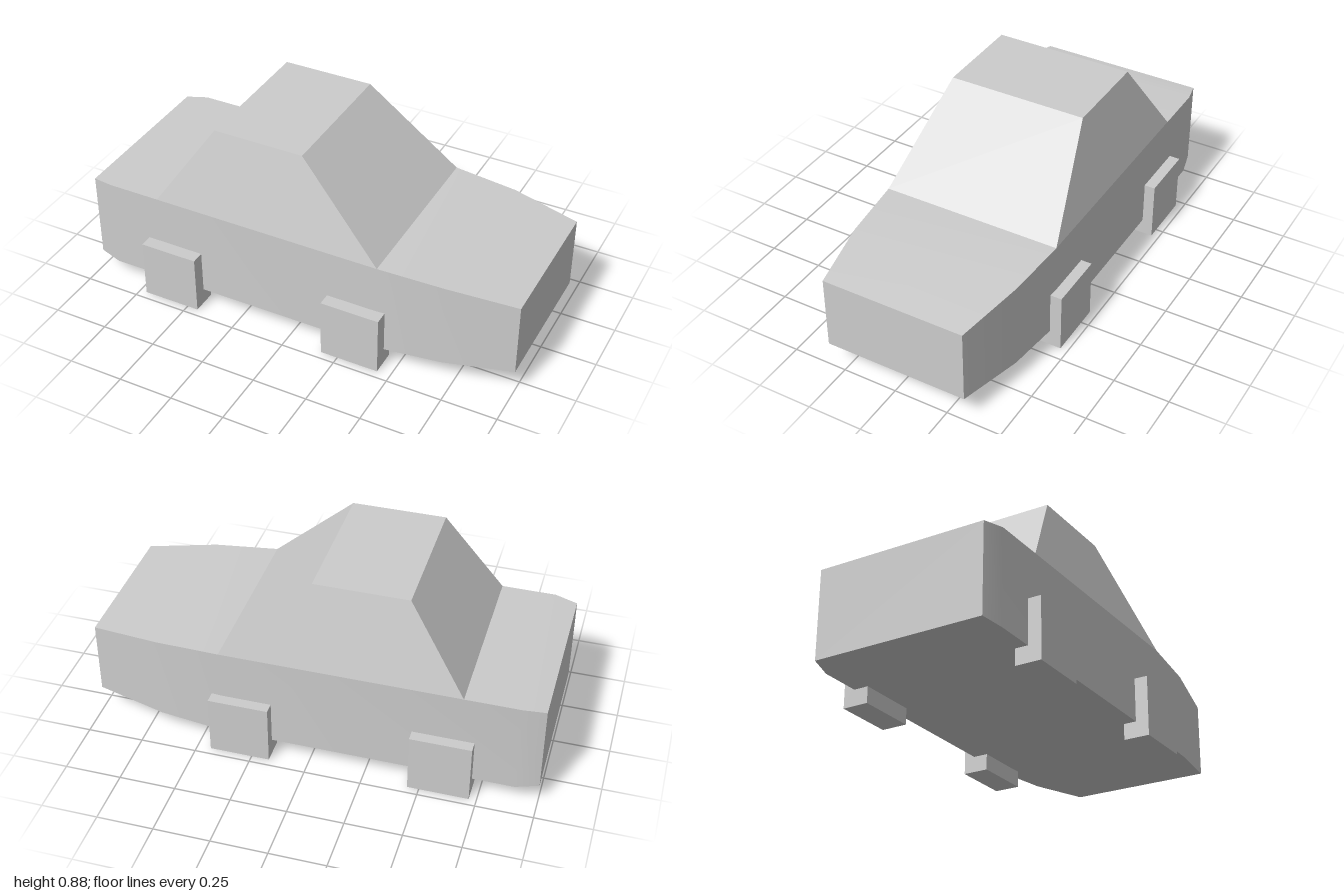
import * as THREE from 'three';
import { toCreasedNormals } from 'three/addons/utils/BufferGeometryUtils.js';

const material = new THREE.MeshStandardMaterial({ color: 0xcccccc });

// Closed solid through four-cornered rings, each counter-clockwise seen from the last end
function loft(rings) {
  const pos = [];
  const quad = (a, b, c, d) => pos.push(...a, ...b, ...c, ...a, ...c, ...d);
  for (let r = 0; r < rings.length - 1; r++) {
    const a = rings[r], b = rings[r + 1];
    for (let i = 0; i < 4; i++) {
      const j = (i + 1) % 4;
      quad(a[i], a[j], b[j], b[i]);
    }
  }
  const first = rings[0];
  quad(first[3], first[2], first[1], first[0]);
  quad(...rings[rings.length - 1]);
  const geometry = new THREE.BufferGeometry();
  geometry.setAttribute('position', new THREE.Float32BufferAttribute(pos, 3));
  return toCreasedNormals(geometry, 0.45);
}

export function createModel() {
  const group = new THREE.Group();
  const add = (name, geometry) => {
    const mesh = new THREE.Mesh(geometry, material);
    mesh.name = name;
    group.add(mesh);
    return mesh;
  };

  // Lower body: x, bottom, top, back z, front z; nose points to +x
  const sections = [
    [-1.0, 0.085, 0.485, -0.393, 0.381],
    [-0.9, 0.073, 0.496, -0.416, 0.404],
    [0.4, 0.073, 0.496, -0.416, 0.404],
    [0.69, 0.088, 0.482, -0.393, 0.379],
    [1.0, 0.115, 0.452, -0.333, 0.322],
  ];
  add('body', loft(sections.map(([x, y0, y1, z0, z1]) =>
    [[x, y0, z1], [x, y0, z0], [x, y1, z0], [x, y1, z1]])));

  // Cabin: y, rear x, front x, back z, front z
  const levels = [
    [0.496, -0.66, 0.4, -0.416, 0.404],
    [0.875, -0.405, 0.01, -0.321, 0.31],
  ];
  add('cabin', loft(levels.map(([y, x0, x1, z0, z1]) =>
    [[x0, y, z1], [x1, y, z1], [x1, y, z0], [x0, y, z0]])));

  // Four block wheels
  for (const [end, x] of [['rear', -0.583], ['front', 0.305]]) {
    for (const [side, z] of [['Left', -0.407], ['Right', 0.405]]) {
      add(end + side + 'Wheel', new THREE.BoxGeometry(0.268, 0.272, 0.117))
        .position.set(x, 0.136, z);
    }
  }
  return group;
}
